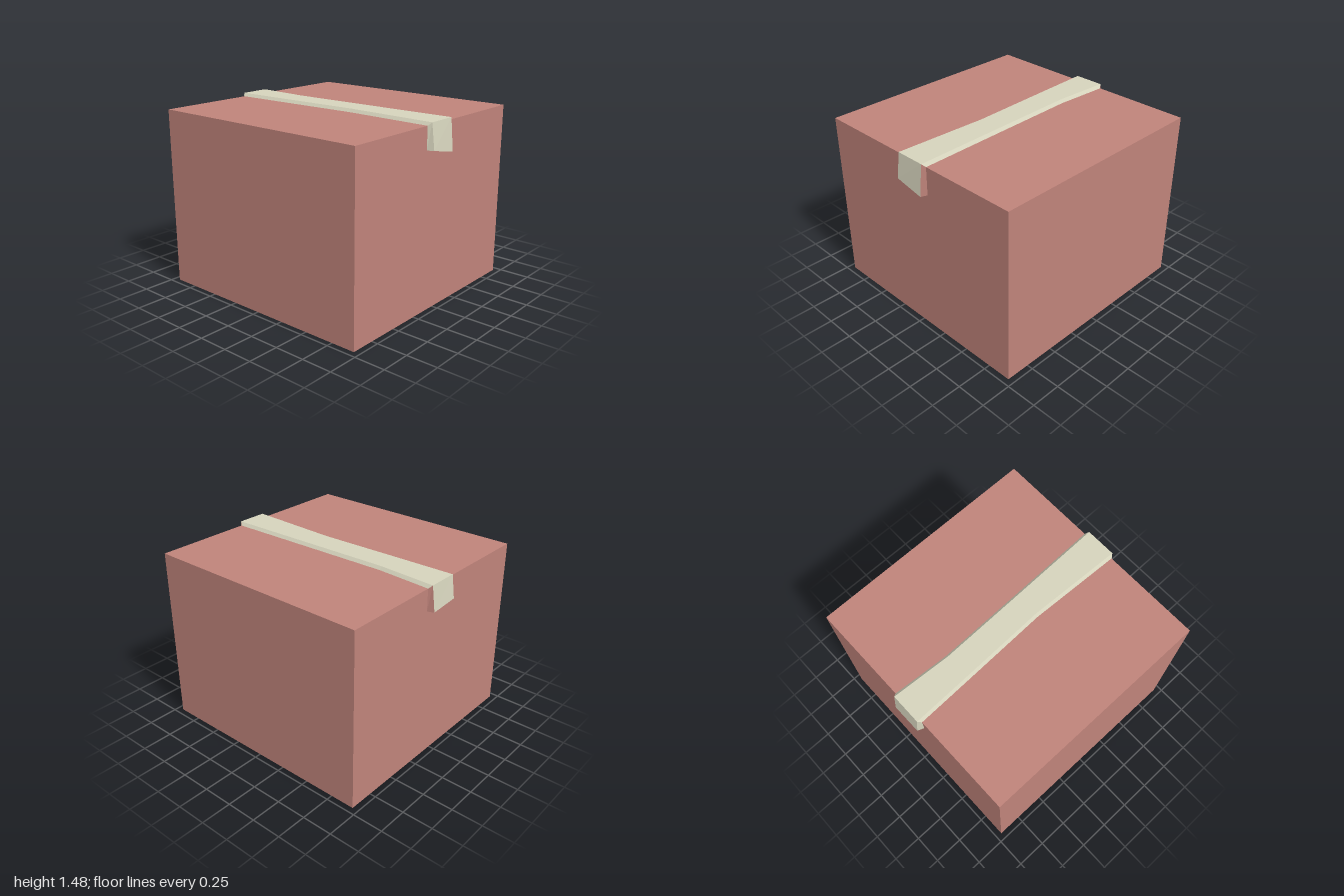
import * as THREE from 'three';

const BOX_H = 1.45, TAPE_TOP = 1.475, BEVEL = 0.02;

export function createModel() {
  const group = new THREE.Group();
  group.name = 'tapedBox';

  const cardboard = new THREE.MeshStandardMaterial({ color: 0xbf837a });
  cardboard.name = 'dusty red cardboard';
  const tapeCream = new THREE.MeshStandardMaterial({ color: 0xd5d3bc });
  tapeCream.name = 'cream tape';

  // plain closed carton
  const box = new THREE.Mesh(new THREE.BoxGeometry(1.9, BOX_H, 1.9), cardboard);
  box.name = 'carton';
  box.position.y = BOX_H / 2;
  group.add(box);

  // cross-section of the tape: inner back, outer back, outer front, inner front
  const section = (xIn, xOut, zBack, zFront, inBack, inFront, outBack, outFront) => [
    [xIn, inBack, zBack],
    [xOut, outBack, zBack + BEVEL],
    [xOut, outFront, zFront - BEVEL],
    [xIn, inFront, zFront],
  ];
  const topSection = (xIn, xOut, zBack, zFront) =>
    section(xIn, xOut, zBack, zFront, BOX_H, BOX_H, TAPE_TOP, TAPE_TOP);
  const flapEnd = (xIn, xOut, yBack, yFront) =>
    section(xIn, xOut, -0.145, 0.142, yBack, yFront, yBack, yFront);

  // up the left-hand flap, across the slightly pinched top, down the other flap
  const s = [
    flapEnd(-0.95, -1, 1.27, 1.29),
    topSection(-0.95, -0.975, -0.148, 0.142),
    topSection(-0.5, -0.5, -0.118, 0.13),
    topSection(0.2, 0.2, -0.132, 0.11),
    topSection(0.95, 0.975, -0.148, 0.142),
    flapEnd(0.95, 1, 1.22, 1.27),
  ];

  const tapeFaces = [], bareFaces = [];
  const quad = (list, a, b, c, d) => list.push(...a, ...b, ...c, ...a, ...c, ...d);
  for (let i = 0; i < s.length - 1; i++) {
    const isFlap = i === 0 || i === s.length - 2;
    for (let j = 0; j < 3; j++) {
      // the back edges of both flaps are bare cardboard colour
      const list = isFlap && j === 0 ? bareFaces : tapeFaces;
      quad(list, s[i][j], s[i][j + 1], s[i + 1][j + 1], s[i + 1][j]);
    }
  }
  // undersides of the flaps
  quad(tapeFaces, s[0][3], s[0][2], s[0][1], s[0][0]);
  quad(bareFaces, ...s[s.length - 1]);

  const addFaces = (name, points, material) => {
    const geometry = new THREE.BufferGeometry();
    geometry.setAttribute('position', new THREE.Float32BufferAttribute(points, 3));
    geometry.computeVertexNormals();
    const mesh = new THREE.Mesh(geometry, material);
    mesh.name = name;
    group.add(mesh);
  };
  addFaces('tape', tapeFaces, tapeCream);
  addFaces('tapeFlapEdges', bareFaces, cardboard);

  return group;
}
